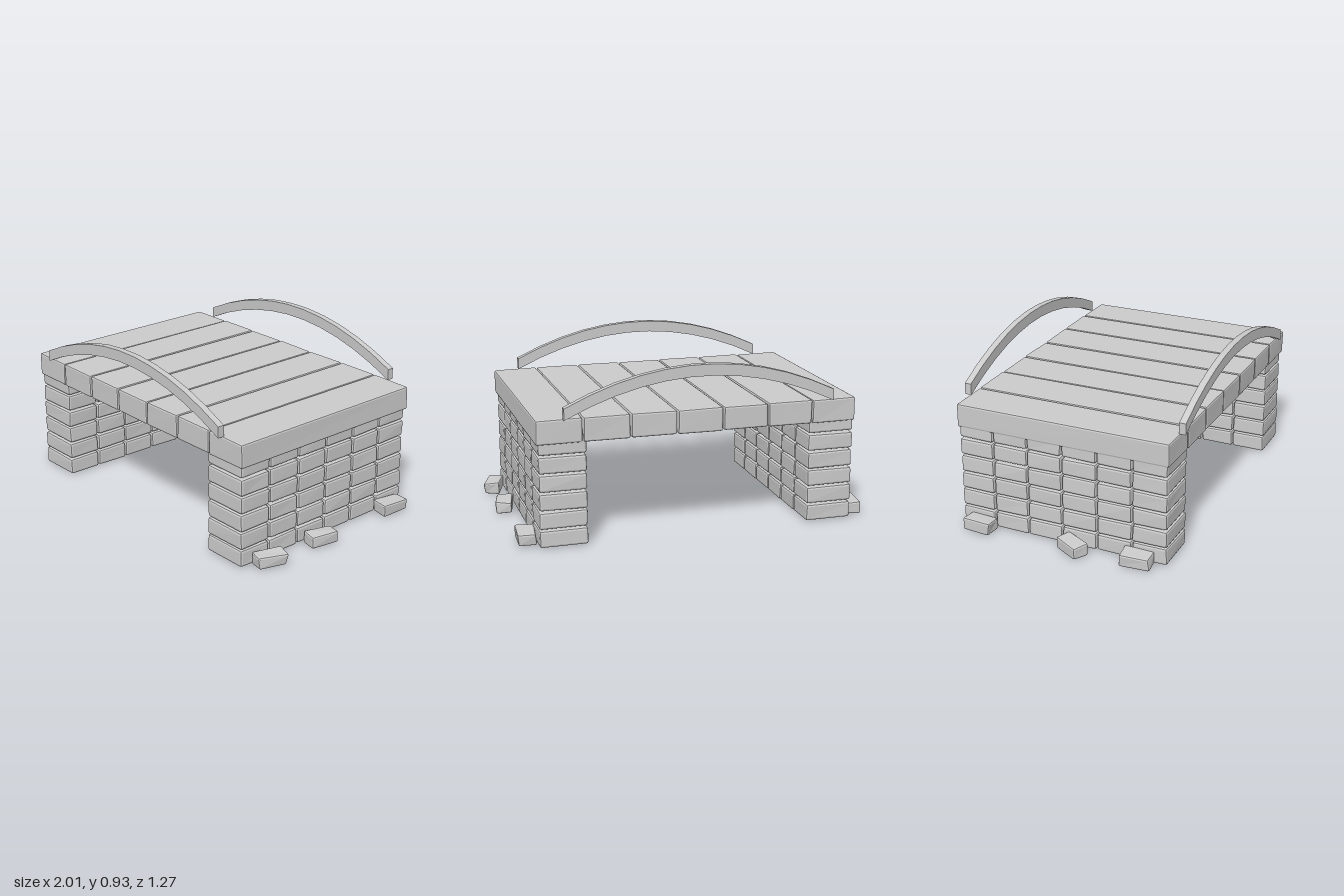
import * as THREE from 'three';
import { RoundedBoxGeometry } from 'three/addons/geometries/RoundedBoxGeometry.js';

const material = new THREE.MeshStandardMaterial({ color: 0xcccccc, flatShading: true });

// Small seeded generator, returns -1..1
let seed = 7;
function rand() {
  seed = (seed * 16807) % 2147483647;
  return (seed / 2147483647) * 2 - 1;
}

// Bevelled block whose eight corners are each nudged a little, like hewn stone
function roughBlock(name, w, h, d, bevel, jitter) {
  const geometry = new RoundedBoxGeometry(w, h, d, 1, bevel);
  const offsets = Array.from({ length: 8 }, () => [rand() * jitter, rand() * jitter, rand() * jitter]);
  const p = geometry.attributes.position;
  for (let i = 0; i < p.count; i++) {
    const x = p.getX(i), y = p.getY(i), z = p.getZ(i);
    const o = offsets[(x > 0 ? 1 : 0) + (y > 0 ? 2 : 0) + (z > 0 ? 4 : 0)];
    p.setXYZ(i, x + o[0], y + o[1], z + o[2]);
  }
  geometry.computeVertexNormals();
  const mesh = new THREE.Mesh(geometry, material);
  mesh.name = name;
  return mesh;
}

// Supporting pier: six courses of six bricks
function makePier(name, x) {
  const pier = new THREE.Group();
  pier.name = name;
  for (let row = 0; row < 6; row++) {
    for (let col = 0; col < 6; col++) {
      const brick = roughBlock('brick', 0.257, 0.092, 0.194, 0.012, 0.002);
      brick.position.set(x, 0.053 + row * 0.0995, -0.5 + col * 0.2);
      pier.add(brick);
    }
  }
  return pier;
}

// Deck of seven long slabs
function makeDeck() {
  const deck = new THREE.Group();
  deck.name = 'deck';
  for (let i = 0; i < 7; i++) {
    const slab = roughBlock('deckSlab', 0.246, 0.13, 1.216, 0.01, 0.002);
    slab.position.set((i - 3) * 0.2525, 0.63, 0);
    deck.add(slab);
  }
  return deck;
}

// Arched railing: eleven straight pieces with upright joints along a parabola
function makeRailing(name, z) {
  const railing = new THREE.Group();
  railing.name = name;
  const count = 11, half = 0.738, thickness = 0.062, depth = 0.037;
  const top = (x) => 0.938 - 0.183 * (x / half) ** 2;
  for (let i = 0; i < count; i++) {
    const a = -half + (2 * half * i) / count;
    const b = -half + (2 * half * (i + 1)) / count;
    const shape = new THREE.Shape([
      new THREE.Vector2(a, top(a) - thickness),
      new THREE.Vector2(b, top(b) - thickness),
      new THREE.Vector2(b, top(b)),
      new THREE.Vector2(a, top(a)),
    ]);
    const geometry = new THREE.ExtrudeGeometry(shape, { depth, bevelEnabled: false });
    const piece = new THREE.Mesh(geometry, material);
    piece.name = 'railingPiece';
    piece.position.z = z - depth / 2;
    railing.add(piece);
  }
  return railing;
}

// Loose stones lying at the foot of the piers: x, z, turn, width
function makeLooseStones() {
  const stones = new THREE.Group();
  stones.name = 'looseStones';
  const places = [
    [0.92, -0.463, -0.08, 0.1],
    [0.933, 0.09, -0.2, 0.09],
    [0.931, 0.452, -0.34, 0.085],
    [-0.922, -0.465, -0.09, 0.1],
    [-0.937, 0.088, -0.52, 0.085],
    [-0.92, 0.452, 0.06, 0.1],
  ];
  for (const [x, z, turn, width] of places) {
    const stone = roughBlock('looseStone', width, 0.066, 0.162, 0.01, 0.005);
    stone.position.set(x, 0.04, z);
    stone.rotation.y = turn;
    stones.add(stone);
  }
  return stones;
}

export function createModel() {
  const bridge = new THREE.Group();
  bridge.name = 'stoneBridge';
  bridge.add(
    makePier('leftPier', 0.74),
    makePier('rightPier', -0.745),
    makeDeck(),
    makeRailing('frontRailing', 0.617),
    makeRailing('backRailing', -0.617),
    makeLooseStones(),
  );
  return bridge;
}
